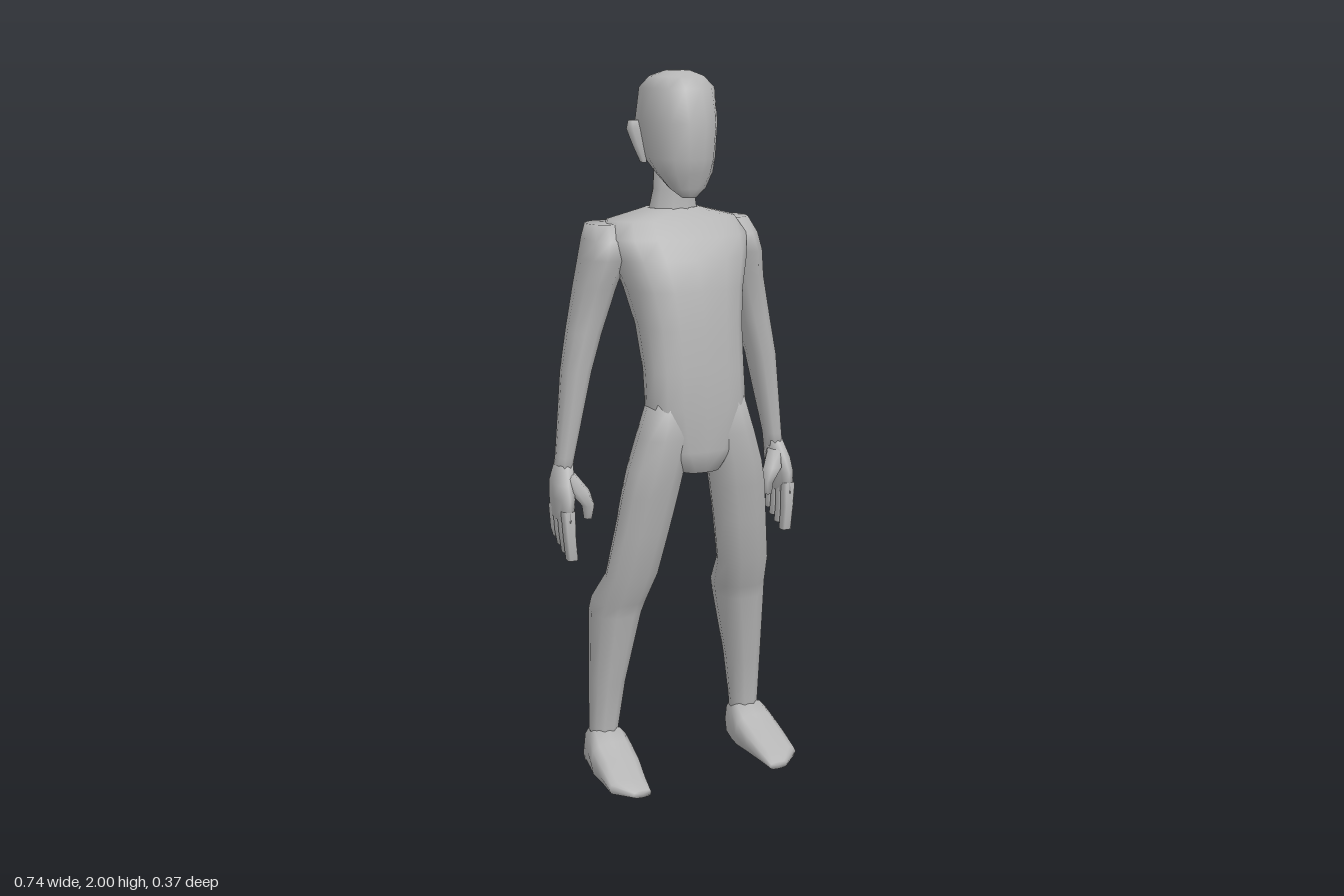
import * as THREE from 'three';

const skin = new THREE.MeshStandardMaterial({ color: 0xb4b4b4 });
skin.name = 'plain grey';

// Closed skin over level rings [y, x0, x1, zBack, zFront], listed from low to high.
// Higher power gives boxier cross-sections.
function loft(rings, sides = 12, power = 2) {
  const pos = [], idx = [];
  const round = (v) => Math.sign(v) * Math.pow(Math.abs(v), 2 / power);
  for (const [y, x0, x1, z0, z1] of rings) {
    for (let j = 0; j < sides; j++) {
      const a = ((j + 0.5 * (power > 3)) / sides) * Math.PI * 2;
      pos.push((x0 + x1) / 2 + round(Math.cos(a)) * (x1 - x0) / 2, y,
        (z0 + z1) / 2 + round(Math.sin(a)) * (z1 - z0) / 2);
    }
  }
  for (let i = 0; i < rings.length - 1; i++) {
    for (let j = 0; j < sides; j++) {
      const k = (j + 1) % sides;
      const a = i * sides + j, b = i * sides + k;
      idx.push(a, a + sides, b, b, a + sides, b + sides);
    }
  }
  // End caps
  const last = rings.length - 1;
  for (const r of [0, last]) {
    const [y, x0, x1, z0, z1] = rings[r];
    const c = pos.length / 3;
    pos.push((x0 + x1) / 2, y, (z0 + z1) / 2);
    for (let j = 0; j < sides; j++) {
      const a = r * sides + j, b = r * sides + (j + 1) % sides;
      if (r === 0) idx.push(c, a, b); else idx.push(c, b, a);
    }
  }
  const g = new THREE.BufferGeometry();
  g.setAttribute('position', new THREE.Float32BufferAttribute(pos, 3));
  g.setIndex(idx);
  g.computeVertexNormals();
  return g;
}

// Rings that are symmetric about x = 0: [y, halfWidth, zBack, zFront]
const centred = (rings) => rings.map(([y, w, b, f]) => [y, -w, w, b, f]);
// Rings moved to the other side of the body
const sided = (rings, s) => (s > 0 ? rings : rings.map(([y, a, b, c, d]) => [y, -b, -a, c, d]));

export function createModel() {
  const model = new THREE.Group();
  model.name = 'figure';
  const add = (name, geometry, parent = model) => {
    const m = new THREE.Mesh(geometry, skin);
    m.name = name;
    parent.add(m);
    return m;
  };

  add('head', loft(centred([
    [1.665, 0.02, 0.015, 0.052], [1.69, 0.052, -0.015, 0.062], [1.73, 0.078, -0.07, 0.075],
    [1.77, 0.092, -0.142, 0.088], [1.865, 0.105, -0.185, 0.09], [1.955, 0.1, -0.15, 0.062],
    [1.985, 0.075, -0.11, 0.02], [2.0, 0.035, -0.07, -0.015],
  ]), 14, 2.1));

  add('neck', loft(centred([
    [1.57, 0.085, -0.14, -0.01], [1.63, 0.072, -0.122, -0.018],
    [1.68, 0.062, -0.112, -0.02], [1.8, 0.055, -0.11, -0.02],
  ]), 10));

  add('torso', loft(centred([
    [0.92, 0.06, 0.035, 0.14], [0.98, 0.11, 0.005, 0.15], [1.1, 0.147, 0, 0.15],
    [1.2, 0.145, -0.022, 0.145], [1.32, 0.15, -0.07, 0.132], [1.42, 0.168, -0.12, 0.115],
    [1.5, 0.195, -0.16, 0.092], [1.555, 0.21, -0.178, 0.055], [1.6, 0.19, -0.165, 0.0],
    [1.63, 0.075, -0.13, -0.02],
  ]), 16, 2.5));

  for (const s of [1, -1]) {
    const side = s > 0 ? 'left' : 'right';

    add(side + 'Ear', loft(sided([
      [1.755, 0.08, 0.097, -0.085, -0.055], [1.8, 0.08, 0.116, -0.095, -0.06],
      [1.845, 0.08, 0.133, -0.1, -0.065], [1.868, 0.09, 0.127, -0.095, -0.072],
    ], s), 6));

    // Arm from wrist to shoulder
    const arm = new THREE.Group();
    arm.name = side + 'Arm';
    model.add(arm);
    add('sleevelessArm', loft(sided([
      [0.9, 0.31, 0.36, -0.12, -0.05], [0.95, 0.302, 0.354, -0.115, -0.052],
      [1.19, 0.247, 0.331, -0.137, -0.04], [1.3, 0.213, 0.31, -0.15, -0.035],
      [1.42, 0.172, 0.285, -0.163, -0.022], [1.5, 0.15, 0.268, -0.172, 0.008],
      [1.55, 0.13, 0.257, -0.175, 0.0], [1.592, 0.12, 0.244, -0.165, -0.045],
    ], s), 10, 2.3), arm);

    // Palm, thumb and four fingers
    const hand = new THREE.Group();
    hand.name = side + 'Hand';
    arm.add(hand);
    add('palm', loft(sided([
      [0.78, 0.328, 0.365, -0.125, 0.0], [0.84, 0.32, 0.37, -0.127, -0.004],
      [0.88, 0.312, 0.37, -0.125, -0.025], [0.93, 0.307, 0.356, -0.115, -0.053],
    ], s), 8, 3), hand);
    add('thumb', loft(sided([
      [0.782, 0.272, 0.297, -0.04, -0.01], [0.82, 0.264, 0.302, -0.05, -0.002],
      [0.86, 0.275, 0.335, -0.065, -0.003], [0.905, 0.305, 0.345, -0.09, -0.04],
    ], s), 6), hand);
    for (let i = 0; i < 4; i++) {
      const z = -0.031 * i, low = 0.67 + 0.015 * i;
      add('finger', loft(sided([
        [low, 0.323, 0.354, z - 0.03, z], [0.74, 0.328, 0.361, z - 0.031, z],
        [0.81, 0.328, 0.366, z - 0.031, z - 0.002],
      ], s), 8, 4), hand);
    }

    // Leg from ankle to hip
    add(side + 'Leg', loft(sided([
      [0.08, 0.188, 0.272, -0.105, -0.01], [0.14, 0.186, 0.27, -0.106, -0.02],
      [0.28, 0.168, 0.271, -0.114, 0.0], [0.49, 0.125, 0.271, -0.122, 0.033],
      [0.53, 0.115, 0.266, -0.112, 0.046], [0.62, 0.097, 0.253, -0.03, 0.08],
      [0.75, 0.073, 0.233, -0.012, 0.108], [0.86, 0.052, 0.218, 0.0, 0.128],
      [0.93, 0.04, 0.202, 0.0, 0.14], [1.02, 0.02, 0.174, 0.002, 0.145],
      [1.12, 0.01, 0.143, 0.015, 0.135],
    ], s), 10, 2.3));

    // Foot from heel to toe: rings run along z, with heights given as -top, -bottom
    const foot = loft(sided([
      [-0.115, 0.2, 0.272, -0.07, 0], [-0.095, 0.185, 0.278, -0.13, 0],
      [-0.03, 0.168, 0.292, -0.14, 0], [0.01, 0.165, 0.3, -0.112, -0.003],
      [0.07, 0.17, 0.3, -0.085, -0.01], [0.14, 0.182, 0.299, -0.052, -0.01],
      [0.185, 0.19, 0.245, -0.032, -0.01],
    ], s), 12, 2.9);
    add(side + 'Foot', foot.rotateX(Math.PI / 2));
  }
  return model;
}
